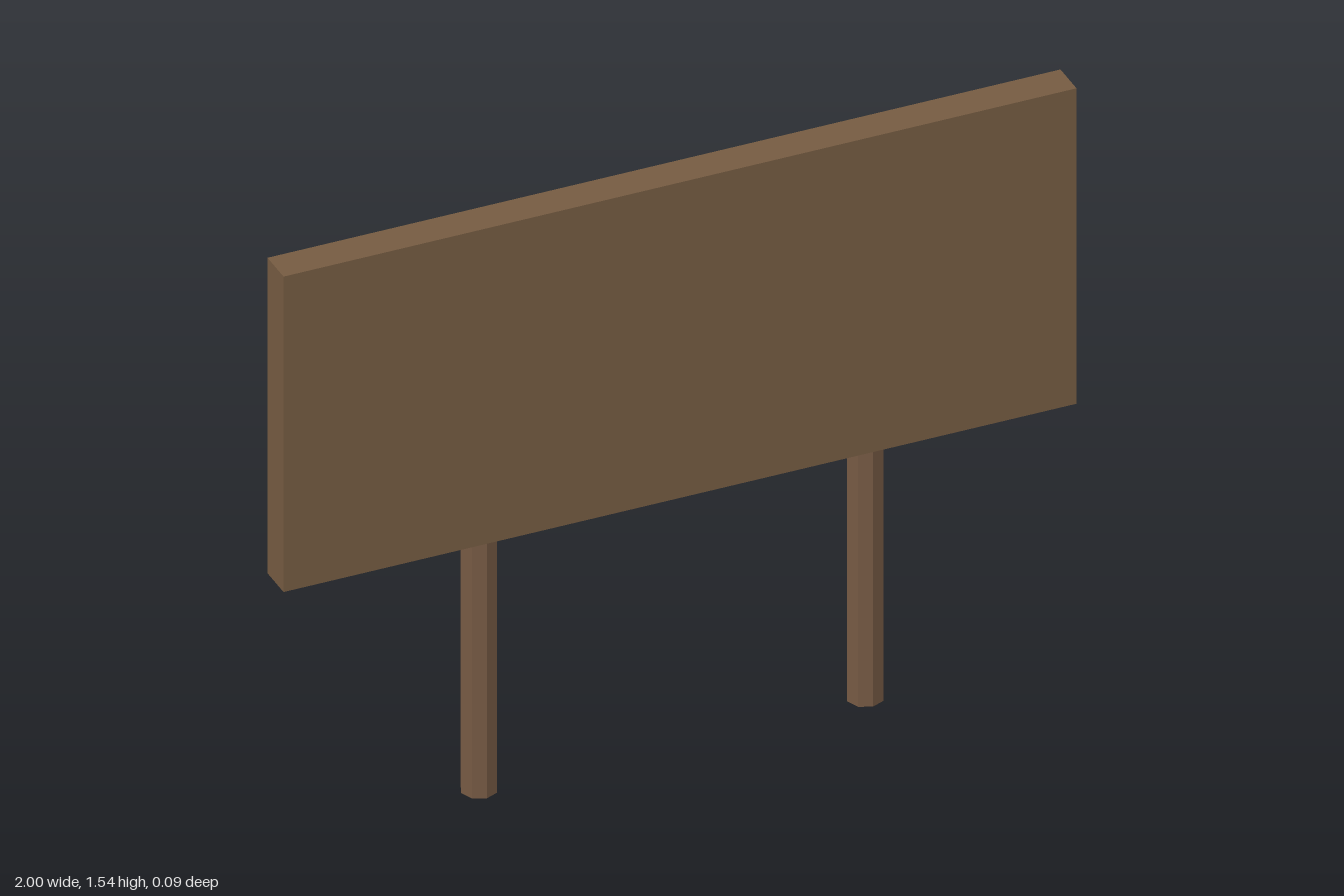
import * as THREE from 'three';

export function createModel() {
  const group = new THREE.Group();
  const boardWood = new THREE.MeshStandardMaterial({ color: 0x755b41, flatShading: true });
  const postWood = new THREE.MeshStandardMaterial({ color: 0x755943, flatShading: true });

  const boardBottom = 0.69;
  const boardHeight = 0.855;
  const thickness = 0.09;

  // Sign panel
  const board = new THREE.Mesh(new THREE.BoxGeometry(2, boardHeight, thickness), boardWood);
  board.name = 'board';
  board.position.y = boardBottom + boardHeight / 2;
  group.add(board);

  // Two octagonal posts under the panel
  const postGeometry = new THREE.CylinderGeometry(thickness / 2, thickness / 2, boardBottom, 8);
  for (const [name, side] of [['leftPost', 1], ['rightPost', -1]]) {
    const post = new THREE.Mesh(postGeometry, postWood);
    post.name = name;
    post.position.set(side * 0.487, boardBottom / 2, 0);
    group.add(post);
  }

  return group;
}
